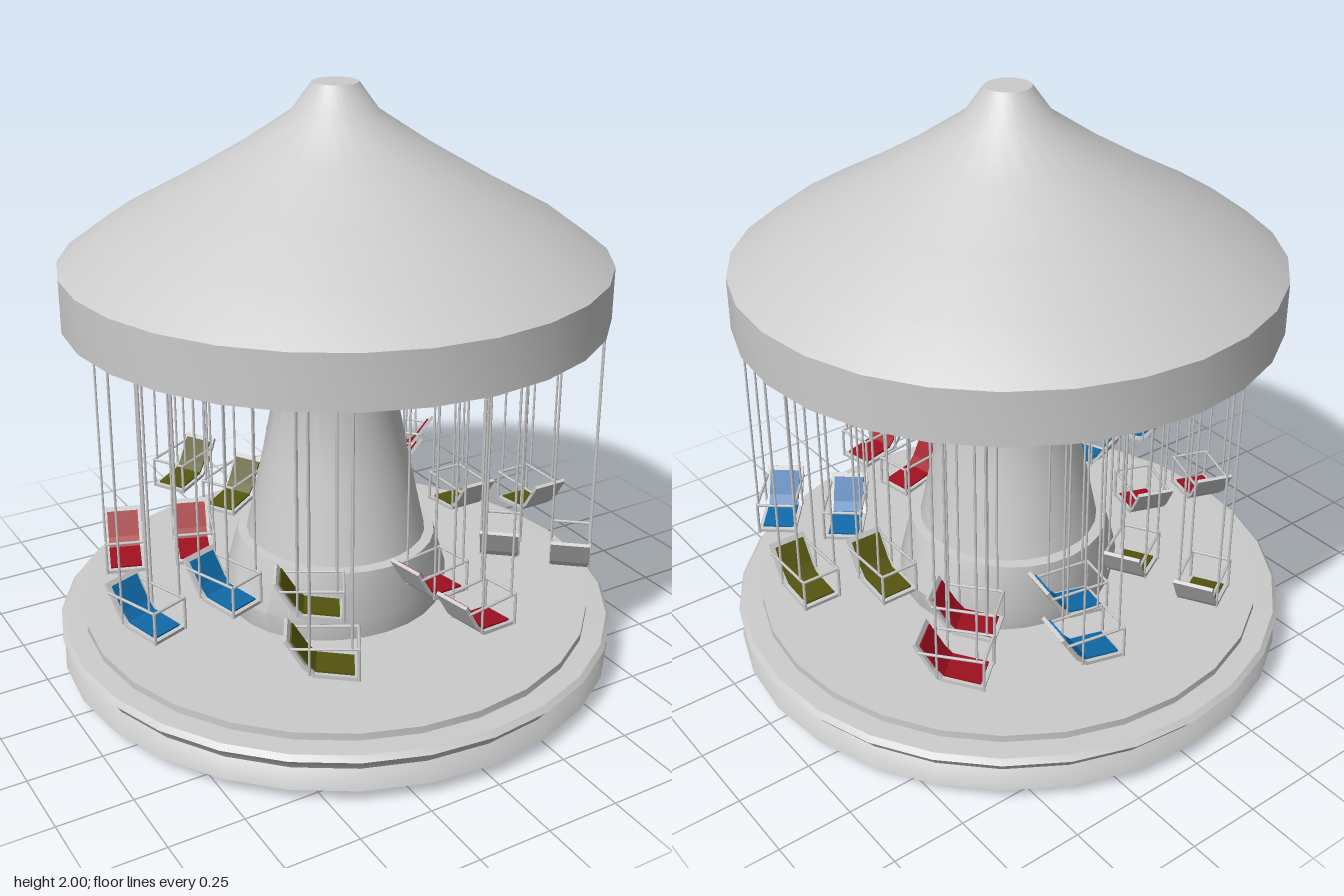
import * as THREE from 'three';
import { toCreasedNormals } from 'three/addons/utils/BufferGeometryUtils.js';

const SEGMENTS = 28;
const paint = (color) => new THREE.MeshStandardMaterial({ color });
const grey = paint(0xcccccc);
const cushionColors = [paint(0x55550f), paint(0xa01020), paint(0x106aa8)];

function mesh(name, geometry, material = grey) {
  const m = new THREE.Mesh(geometry, material);
  m.name = name;
  return m;
}

// Profile points run from bottom to top as [radius, height]
const turned = (points) =>
  new THREE.LatheGeometry(points.map(([r, y]) => new THREE.Vector2(r, y)), SEGMENTS);
const creased = (geometry) => toCreasedNormals(geometry, 0.5);

// Round bar between two points
function bar(name, a, b, radius) {
  const from = new THREE.Vector3(...a), to = new THREE.Vector3(...b);
  const dir = to.clone().sub(from);
  const m = mesh(name, new THREE.CylinderGeometry(radius, radius, dir.length(), 6));
  m.position.copy(from).add(to).multiplyScalar(0.5);
  m.quaternion.setFromUnitVectors(new THREE.Vector3(0, 1, 0), dir.normalize());
  return m;
}

// Bent sheet: a side profile [forward, up] thickened and extruded across the seat
function bentSheet(points, thickness, width) {
  const pts = points.map(([u, y]) => new THREE.Vector2(u, y));
  const upper = pts.map((p, i) => {
    const a = pts[Math.max(i - 1, 0)], b = pts[Math.min(i + 1, pts.length - 1)];
    const t = b.clone().sub(a).normalize();
    return new THREE.Vector2(p.x - t.y * thickness, p.y + t.x * thickness);
  });
  const shape = new THREE.Shape([...pts, ...upper.reverse()]);
  const geo = new THREE.ExtrudeGeometry(shape, { depth: width, bevelEnabled: false });
  geo.translate(0, 0, -width / 2);
  geo.rotateY(-Math.PI / 2);
  return geo;
}

// Shared swing geometry
const W = 0.13;
const shellGeometry = bentSheet([[-0.14, 0.515], [-0.085, 0.425], [-0.05, 0.392], [0.085, 0.378]], 0.012, W);
const cushionGeometry = bentSheet([[-0.12, 0.508], [-0.073, 0.433], [-0.045, 0.404], [0.072, 0.391]], 0.006, W - 0.025);

// One hanging chair, facing its own +z
function createSwing(material) {
  const swing = new THREE.Group();
  swing.name = 'swing';
  swing.add(mesh('seatShell', shellGeometry), mesh('seatCushion', cushionGeometry, material));
  for (const side of [-1, 1]) {
    const x = side * W / 2;
    swing.add(
      bar('armrest', [x, 0.49, -0.12], [x, 0.49, 0.085], 0.005),
      bar('armrestPost', [x, 0.38, 0.085], [x, 0.49, 0.085], 0.005),
      bar('rearChain', [x, 0.4, -0.063], [x, 1.28, -0.063], 0.004),
      bar('frontChain', [x, 0.49, 0.064], [x, 1.28, 0.064], 0.004));
  }
  swing.add(bar('safetyBar', [-W / 2, 0.49, 0.085], [W / 2, 0.49, 0.085], 0.005));
  return swing;
}

// Central column, slightly oval: each row is [x radius, z radius, height]
function columnGeometry() {
  const rows = [
    [0.385, 0.35, 0.19], [0.4, 0.365, 0.28], [0.34, 0.355, 0.45], [0.31, 0.315, 0.452],
    [0.25, 0.265, 0.72], [0.2, 0.228, 0.96], [0.24, 0.25, 1.1], [0.315, 0.317, 1.27],
  ];
  const geo = turned(rows.map(([rx, , y]) => [rx, y]));
  const pos = geo.attributes.position;
  for (let i = 0; i < pos.count; i++) {
    const [rx, rz] = rows[i % rows.length];
    pos.setZ(i, pos.getZ(i) * rz / rx);
  }
  geo.computeVertexNormals();
  return creased(geo);
}

export function createModel() {
  const model = new THREE.Group();
  model.name = 'swingCarousel';

  // Round base with a grooved rim and a raised floor
  model.add(mesh('base', creased(turned([
    [0, 0], [0.6, 0.01], [0.88, 0.028], [0.965, 0.05], [0.955, 0.08], [0.935, 0.11],
    [0.95, 0.135], [0.97, 0.155], [0.955, 0.172], [0.885, 0.175], [0.885, 0.2], [0, 0.2],
  ]))));

  model.add(mesh('column', columnGeometry()));

  // Tent-like roof with a straight valance and a closed underside
  model.add(mesh('roof', creased(turned([
    [0, 1.26], [0.9, 1.26], [0.9, 1.435], [0.75, 1.545], [0.54, 1.66], [0.32, 1.79],
    [0.14, 1.91], [0.075, 2], [0, 2],
  ]))));

  // Nine pairs of swings: [outer x, outer z, inner x, inner z]
  const pairs = [
    [-0.42, 0.69, -0.29, 0.38], [0.12, 0.71, 0.11, 0.46], [0.62, 0.53, 0.46, 0.35],
    [0.76, 0.1, 0.54, -0.03], [0.6, -0.55, 0.44, -0.39], [0.22, -0.71, 0.11, -0.5],
    [-0.26, -0.72, -0.18, -0.46], [-0.69, -0.25, -0.46, -0.19], [-0.79, 0.2, -0.51, 0.18],
  ];
  const swings = new THREE.Group();
  swings.name = 'swings';
  pairs.forEach(([ox, oz, ix, iz], i) => {
    const angle = THREE.MathUtils.degToRad(120 - 40 * i);
    for (const [x, z] of [[ox, oz], [ix, iz]]) {
      const swing = createSwing(cushionColors[i % 3]);
      swing.position.set(x, 0, z);
      swing.rotation.y = Math.PI - angle;
      swings.add(swing);
    }
  });
  model.add(swings);
  return model;
}
